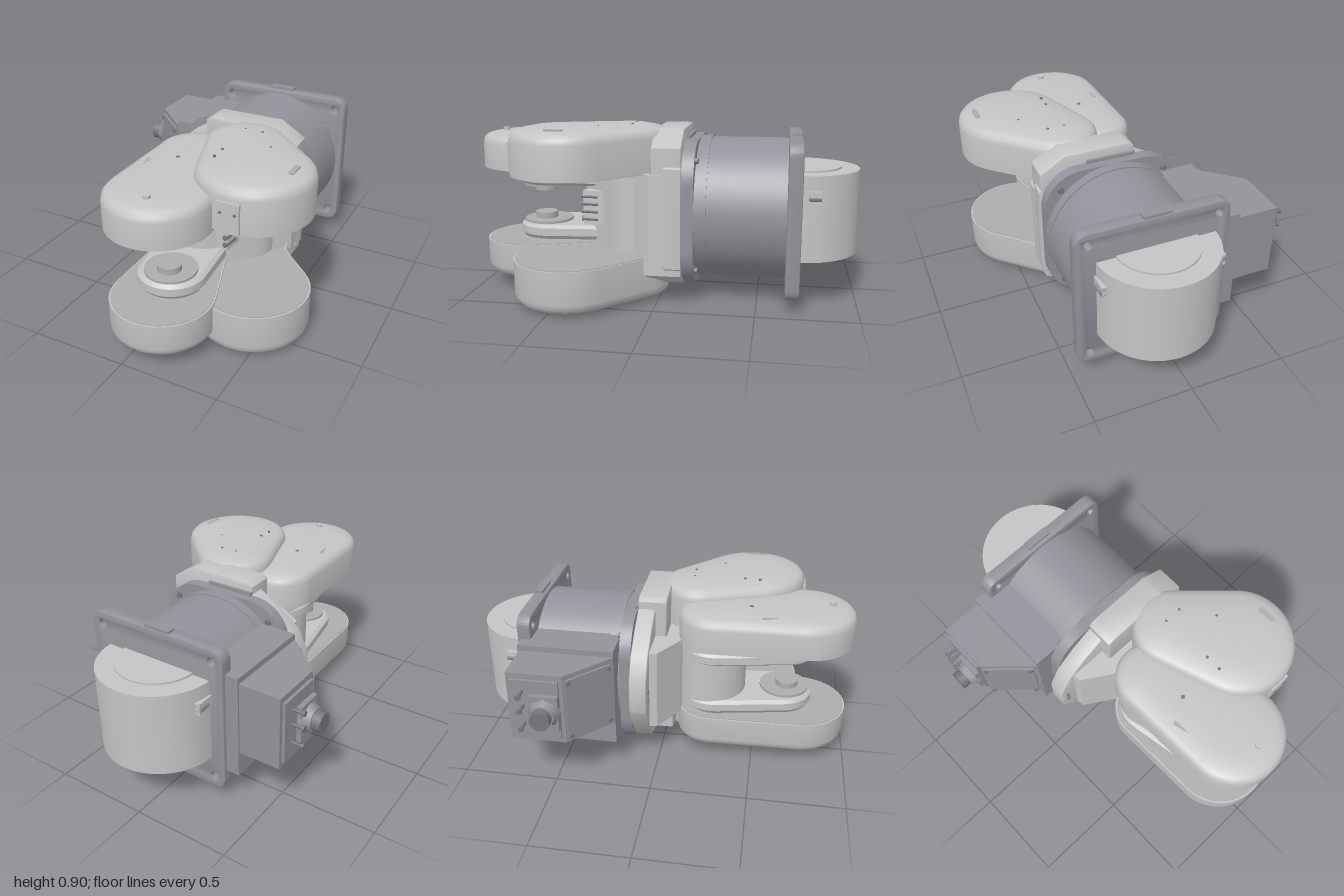
import * as THREE from 'three';
import { toCreasedNormals } from 'three/addons/utils/BufferGeometryUtils.js';

const mat = (name, color) => new THREE.MeshStandardMaterial({ name, color });

export function createModel() {
  const light = mat('light grey', 0xc4c4c4);
  const dark = mat('dark grey', 0x93929a);
  const lining = mat('lining grey', 0xadadad);
  const metal = mat('screw grey', 0x77777c);
  const root = new THREE.Group();
  const CX = 0.07, CY = 0.4525;
  const mirrorY = (y) => 2 * CY - y;

  const add = (name, geo, material, x = 0, y = 0, z = 0) => {
    const m = new THREE.Mesh(geo, material);
    m.name = name;
    m.position.set(x, y, z);
    root.add(m);
    return m;
  };
  // Box given by its limits
  const box = (name, material, x0, x1, y0, y1, z0, z1) =>
    add(name, new THREE.BoxGeometry(x1 - x0, y1 - y0, z1 - z0), material, (x0 + x1) / 2, (y0 + y1) / 2, (z0 + z1) / 2);
  // Cylinder along one axis
  const cyl = (name, material, axis, r, len, x, y, z, seg = 48, r2 = r) => {
    const g = new THREE.CylinderGeometry(r2, r, len, seg);
    if (axis === 'z') g.rotateX(Math.PI / 2);
    if (axis === 'x') g.rotateZ(Math.PI / 2);
    return add(name, g, material, x, y, z);
  };
  const polygon = (pts) => new THREE.Shape(pts.map(([a, b]) => new THREE.Vector2(a, b)));
  // Front outline extruded from z0 to z1
  const prismZ = (name, material, shape, z0, z1, bevel = 0) => {
    const g = new THREE.ExtrudeGeometry(shape, { depth: z1 - z0 - 2 * bevel, bevelEnabled: bevel > 0,
      bevelSize: bevel, bevelOffset: -bevel, bevelThickness: bevel, bevelSegments: 2, curveSegments: 16 });
    return add(name, toCreasedNormals(g, 0.6), material, 0, 0, z0 + bevel);
  };
  // Plan outline of [x, z] points extruded from y0 to y1
  const prismY = (name, material, pts, y0, y1) => {
    const g = new THREE.ExtrudeGeometry(polygon(pts.map(([x, z]) => [x, -z])), { depth: y1 - y0, bevelEnabled: false });
    return add(name, g.rotateX(-Math.PI / 2), material, 0, y0, 0);
  };
  const roundedSquare = (cx, cy, h, r) => {
    const s = new THREE.Shape();
    s.absarc(cx + h - r, cy + h - r, r, 0, Math.PI / 2);
    s.absarc(cx - h + r, cy + h - r, r, Math.PI / 2, Math.PI);
    s.absarc(cx - h + r, cy - h + r, r, Math.PI, Math.PI * 1.5);
    s.absarc(cx + h - r, cy - h + r, r, Math.PI * 1.5, Math.PI * 2);
    return s;
  };

  // Pod: hull of two circles [x, z, r], lofted through [inset, y] rings, bottom to top
  const pod = (name, material, A, B, profile) => {
    const n = 24, N = 2 * (n + 1), pos = [], idx = [];
    const phi = Math.atan2(B[1] - A[1], B[0] - A[0]);
    const beta = Math.acos((A[2] - B[2]) / Math.hypot(B[0] - A[0], B[1] - A[1]));
    for (const [inset, y] of profile) {
      for (const [C, a0, a1] of [[B, phi - beta, phi + beta], [A, phi + beta, phi + 2 * Math.PI - beta]]) {
        for (let i = 0; i <= n; i++) {
          const t = a0 + (a1 - a0) * i / n;
          pos.push(C[0] + (C[2] - inset) * Math.cos(t), y, C[1] + (C[2] - inset) * Math.sin(t));
        }
      }
    }
    const last = profile.length - 1, mx = (A[0] + B[0]) / 2, mz = (A[1] + B[1]) / 2;
    const bot = pos.length / 3;
    pos.push(mx, profile[0][1], mz, mx, profile[last][1], mz);
    for (let i = 0; i < N; i++) {
      const k = (i + 1) % N;
      for (let j = 0; j < last; j++) {
        const a = j * N + i, b = j * N + k;
        idx.push(a, a + N, b, b, a + N, b + N);
      }
      idx.push(bot, i, k, bot + 1, last * N + k, last * N + i);
    }
    const g = new THREE.BufferGeometry();
    g.setAttribute('position', new THREE.Float32BufferAttribute(pos, 3));
    g.setIndex(idx);
    return add(name, toCreasedNormals(g, 0.6), material);
  };
  const flip = (profile) => profile.map(([i, y]) => [i, mirrorY(y)]).reverse();

  // Main drum, back flange with bolt holes, front collar
  cyl('drum', dark, 'z', 0.365, 0.55, CX, CY, -0.405, 72);
  const flange = roundedSquare(0.083, CY, 0.385, 0.06);
  for (const sx of [-1, 1]) for (const sy of [-1, 1]) {
    const hole = new THREE.Path();
    hole.absarc(0.083 + sx * 0.325, CY + sy * 0.322, 0.02, 0, Math.PI * 2, true);
    flange.holes.push(hole);
  }
  prismZ('backFlange', dark, flange, -0.71, -0.64, 0.008);
  box('flangeTopTab', dark, 0.0, 0.14, 0.82, 0.85, -0.705, -0.66);
  prismZ('frontCollar', dark, roundedSquare(CX, CY, 0.365, 0.2), -0.19, -0.13);
  cyl('collarRing', dark, 'z', 0.372, 0.05, CX, CY, -0.225, 72);
  for (const sx of [-1, 1]) for (const sy of [-1, 1])
    cyl('collarBolt', metal, 'z', 0.016, 0.02, CX + sx * 0.28, CY + sy * 0.28, -0.195, 6);

  // Rear motor housing with raised lids and side plugs
  cyl('rearHousing', light, 'y', 0.3, 0.43, CX, 0.458, -0.7, 72);
  cyl('rearLid', light, 'y', 0.205, 0.45, CX, 0.458, -0.705, 64);
  for (const s of [-1, 1]) {
    box('rearPlugBase', light, CX + s * 0.28 - 0.03, CX + s * 0.28 + 0.03, 0.54, 0.6, -0.8, -0.71);
    cyl('rearPlug', dark, 'z', 0.02, 0.06, CX + s * 0.3, 0.57, -0.77, 16);
  }

  // Side gearbox, sloped terminal box and its cover plate
  box('gearbox', dark, -0.37, 0.05, 0.18, 0.72, -0.69, -0.2);
  prismY('terminalBox', dark, [[-0.37, -0.68], [-0.585, -0.68], [-0.585, -0.4], [-0.37, -0.2]], 0.31, 0.69);
  const slope = new THREE.Group();
  slope.name = 'terminalCover';
  slope.position.set(-0.485, 0.5, -0.303);
  slope.rotation.y = -Math.atan2(0.2, 0.215);
  slope.add(new THREE.Mesh(new THREE.BoxGeometry(0.26, 0.33, 0.016), dark));
  for (const sx of [-1, 1]) for (const sy of [-1, 1]) {
    const s = new THREE.Mesh(new THREE.CylinderGeometry(0.011, 0.011, 0.03, 12).rotateX(Math.PI / 2), metal);
    s.position.set(sx * 0.115, sy * 0.15, 0.003);
    slope.add(s);
  }
  root.add(slope);
  box('terminalSidePlate', dark, -0.6, -0.58, 0.34, 0.66, -0.66, -0.42);
  box('plugBlock', dark, -0.625, -0.59, 0.4, 0.59, -0.56, -0.42);
  cyl('mainPlug', dark, 'x', 0.085, 0.05, -0.635, 0.5, -0.49, 8, 0.06);
  cyl('mainPlugCap', metal, 'x', 0.05, 0.05, -0.678, 0.5, -0.49, 24);
  for (const [y, z] of [[0.6, -0.6], [0.52, -0.6], [0.42, -0.6]]) {
    cyl('pin', metal, 'x', 0.008, 0.08, -0.625, y, z, 10);
    cyl('pinHead', metal, 'x', 0.014, 0.012, -0.66, y, z, 12);
  }

  // Turning base in front of the drum
  prismZ('turretPlate', light, polygon([[-0.36, 0.37], [-0.36, 0.54], [-0.3, 0.66], [-0.19, 0.75], [-0.07, 0.82], [0.3, 0.82],
    [0.44, 0.7], [0.44, 0.2], [0.3, 0.09], [-0.1, 0.09], [-0.2, 0.13], [-0.3, 0.26]]), -0.13, -0.04, 0.008);
  prismY('turretBody', light, [[-0.27, -0.05], [0.44, -0.05], [0.44, 0.03], [0.36, 0.13], [0, 0.14], [-0.1, 0.1], [-0.26, 0.0]], 0.23, 0.67);
  prismZ('turretTopCap', light, polygon([[-0.07, 0.64], [-0.07, 0.86], [-0.04, 0.88], [0.3, 0.88], [0.43, 0.8], [0.43, 0.64]]), -0.13, 0.02, 0.01);
  prismZ('turretFoot', light, polygon([[-0.1, 0.26], [-0.1, 0.12], [-0.05, 0.09], [0.3, 0.09], [0.43, 0.16], [0.43, 0.26]]), -0.13, 0.06, 0.01);
  box('turretTopNotch', dark, -0.07, 0.19, 0.8, 0.835, -0.145, -0.125);
  for (const y of [0.585, 0.32]) cyl('turretScrew', metal, 'z', 0.016, 0.02, -0.24, y, -0.035, 6);
  for (const y of [0.64, 0.275]) cyl('turretScrew', metal, 'z', 0.014, 0.02, 0.415, y, 0.03, 12);
  for (const y of [0.48, 0.425]) cyl('turretDowel', metal, 'z', 0.01, 0.01, -0.325, y, -0.038, 12);

  // Centre body with a row of sockets
  pod('centreBody', light, [0.2, 0.12, 0.17], [0.04, 0.25, 0.19], [[0, 0.25], [0, 0.66]]);
  const panel = new THREE.Group();
  panel.name = 'socketPanel';
  panel.position.set(0.235, 0.455, 0.27);
  panel.rotation.y = -0.1;
  panel.add(new THREE.Mesh(new THREE.BoxGeometry(0.06, 0.18, 0.27), light));
  for (let i = 0; i < 4; i++) {
    const s = new THREE.Mesh(new THREE.CylinderGeometry(0.013, 0.013, 0.09, 12).rotateX(Math.PI / 2), metal);
    s.position.set(0.02, -0.06 + i * 0.04, 0.1);
    panel.add(s);
  }
  root.add(panel);

  // Fork blades, hub discs and inner bosses, mirrored above and below
  const foreA = [0.02, 0.27, 0.185], foreB = [CX, 0.63, 0.17];
  const blade = [[0.02, 0.56], [0, 0.575], [0, 0.615], [0.015, 0.635]];
  const hub = (y) => [[0, y - 0.012], [0, y + 0.012]];
  for (const up of [true, false]) {
    const p = (profile) => (up ? profile : flip(profile));
    const Y = (y) => (up ? y : mirrorY(y));
    pod('forkBlade', light, foreA, foreB, p(blade));
    pod('forkSpacer', light, [0.02, 0.27, 0.15], [CX, 0.65, 0.135], p(hub(0.643)));
    cyl('forkBoss', lining, 'y', 0.06, 0.06, 0.075, Y(0.545), 0.665, 32);
    cyl('forkHub', lining, 'y', 0.13, 0.02, 0.075, Y(0.557), 0.65, 40);

    // Upper arm and forearm covers with shallow domes
    const bigA = [0.23, 0.16, 0.2], bigB = [0.41, 0.44, 0.28];
    const smallA = [-0.01, 0.26, 0.18], smallB = [0.075, 0.735, 0.255];
    pod('upperArmCover', light, bigA, bigB,
      p([[0, 0.667], [0, 0.835], [0.006, 0.86], [0.022, 0.878], [0.05, 0.888], [0.11, 0.9], [0.17, 0.905]]));
    pod('forearmCover', light, smallA, smallB,
      p([[0, 0.65], [0, 0.78], [0.006, 0.803], [0.022, 0.82], [0.05, 0.828], [0.1, 0.836], [0.15, 0.839]]));
    pod('upperArmLining', lining, bigA, bigB, p([[0.008, 0.663], [0.008, 0.668]]));
    pod('forearmLining', lining, smallA, smallB, p([[0.008, 0.646], [0.008, 0.651]]));

    // Cover slots and screws
    const slot = (x0, z0, x1, z1, y) => pod('coverSlot', lining, [x0, z0, 0.013], [x1, z1, 0.0131], p([[0, y - 0.012], [0, y + 0.004]]));
    slot(0.595, 0.41, 0.595, 0.48, 0.897);
    slot(-0.105, 0.52, -0.085, 0.59, 0.83);
    for (const [x, z] of [[0.21, 0.13], [0.3, 0.13], [0.41, 0.28], [0.22, 0.4], [0.22, 0.48]])
      cyl('coverScrew', metal, 'y', 0.007, 0.012, x, Y(0.899), z, 10);
    cyl('coverScrew', metal, 'y', 0.01, 0.012, 0.01, Y(0.836), 0.45, 10);
    cyl('coverPlug', light, 'y', 0.018, 0.03, 0.1, Y(0.837), 0.865, 12);
  }
  // Access panel on the upper cover's front
  box('accessPanel', light, 0.355, 0.465, 0.672, 0.82, 0.68, 0.728);
  for (const x of [0.375, 0.445]) cyl('accessScrew', metal, 'z', 0.007, 0.008, x, 0.77, 0.729, 10);

  return root;
}
